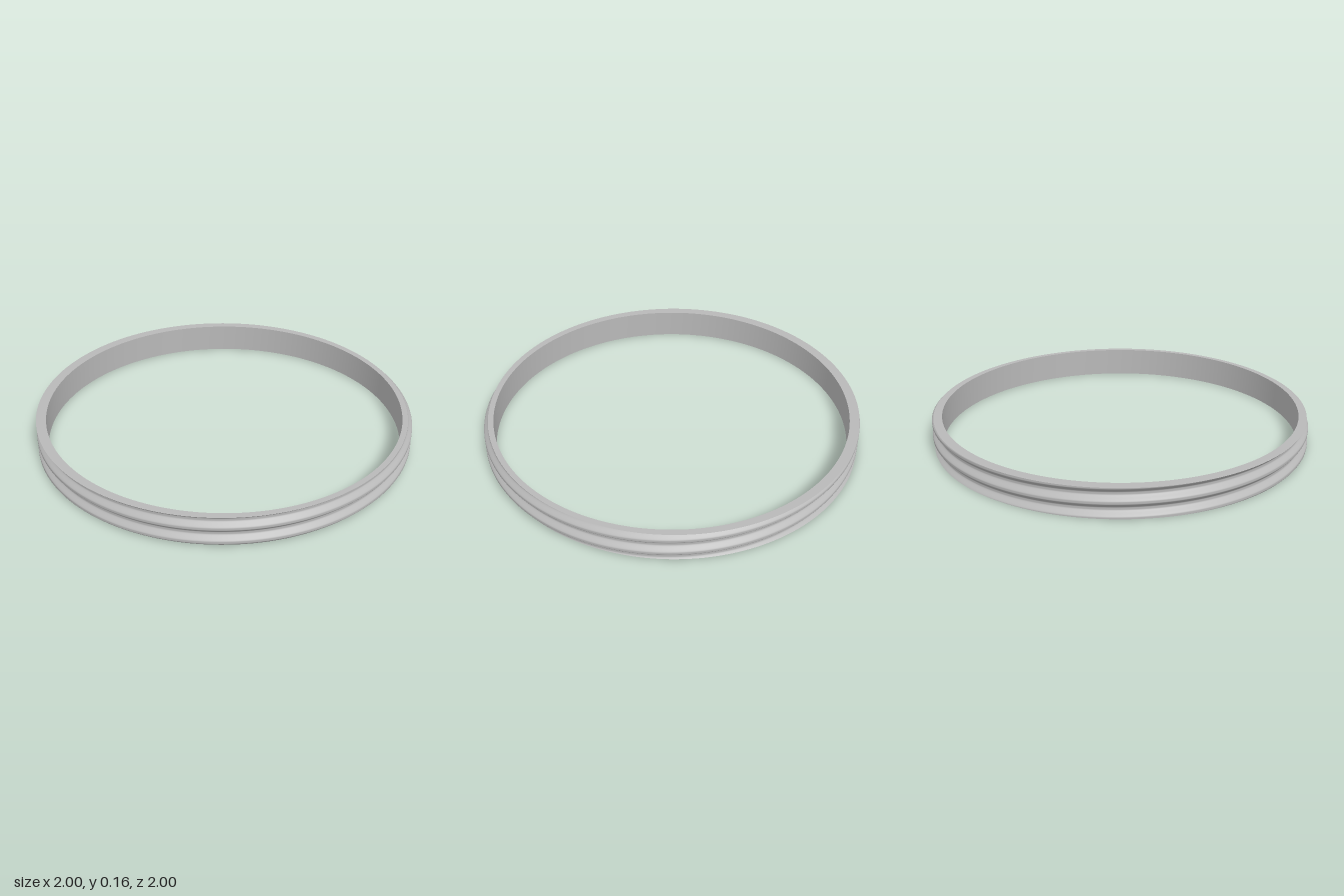
import * as THREE from 'three';

const HEIGHT = 0.156, PITCH = 0.077, INNER = 0.947;
const CREST = 1.0, ROOT = 0.976, SEGMENTS = 192;

// Radius of the single-start helical thread at angle a (from +z towards +x) and height y
function threadRadius(a, y) {
  const phase = Math.PI * 2 * (y - 0.066) / PITCH - a;
  const wave = THREE.MathUtils.clamp(-1.15 * Math.cos(phase), -1, 1);
  return (CREST + ROOT) / 2 + wave * (CREST - ROOT) / 2;
}

// Closed band around y: profile(a, t) gives [radius, height] for t from 0 to 1
function band(profile, rows) {
  const positions = [], indices = [];
  for (let j = 0; j <= rows; j++) {
    for (let i = 0; i < SEGMENTS; i++) {
      const a = i / SEGMENTS * Math.PI * 2;
      const [r, y] = profile(a, j / rows);
      positions.push(r * Math.sin(a), y, r * Math.cos(a));
    }
  }
  for (let j = 0; j < rows; j++) {
    for (let i = 0; i < SEGMENTS; i++) {
      const n = (i + 1) % SEGMENTS;
      const p = j * SEGMENTS + i, q = j * SEGMENTS + n;
      indices.push(p, q, q + SEGMENTS, p, q + SEGMENTS, p + SEGMENTS);
    }
  }
  const geometry = new THREE.BufferGeometry();
  geometry.setAttribute('position', new THREE.Float32BufferAttribute(positions, 3));
  geometry.setIndex(indices);
  geometry.computeVertexNormals();
  return geometry;
}

export function createModel() {
  const ring = new THREE.Group();
  ring.name = 'threadedRing';
  const metal = new THREE.MeshStandardMaterial({ color: 0xb8b8b8 });
  metal.name = 'grey metal';

  const add = (name, profile, rows) => {
    const mesh = new THREE.Mesh(band(profile, rows), metal);
    mesh.name = name;
    ring.add(mesh);
  };
  const lerp = THREE.MathUtils.lerp;

  // Threaded outside, running from bottom to top
  add('outerThread', (a, t) => [threadRadius(a, t * HEIGHT), t * HEIGHT], 56);
  // Flat top face, whose rim follows the cut thread
  add('topFace', (a, t) => [lerp(threadRadius(a, HEIGHT), INNER, t), HEIGHT], 1);
  // Plain bore
  add('innerWall', (a, t) => [INNER, (1 - t) * HEIGHT], 1);
  // Flat bottom face
  add('bottomFace', (a, t) => [lerp(INNER, threadRadius(a, 0), t), 0], 1);

  return ring;
}
